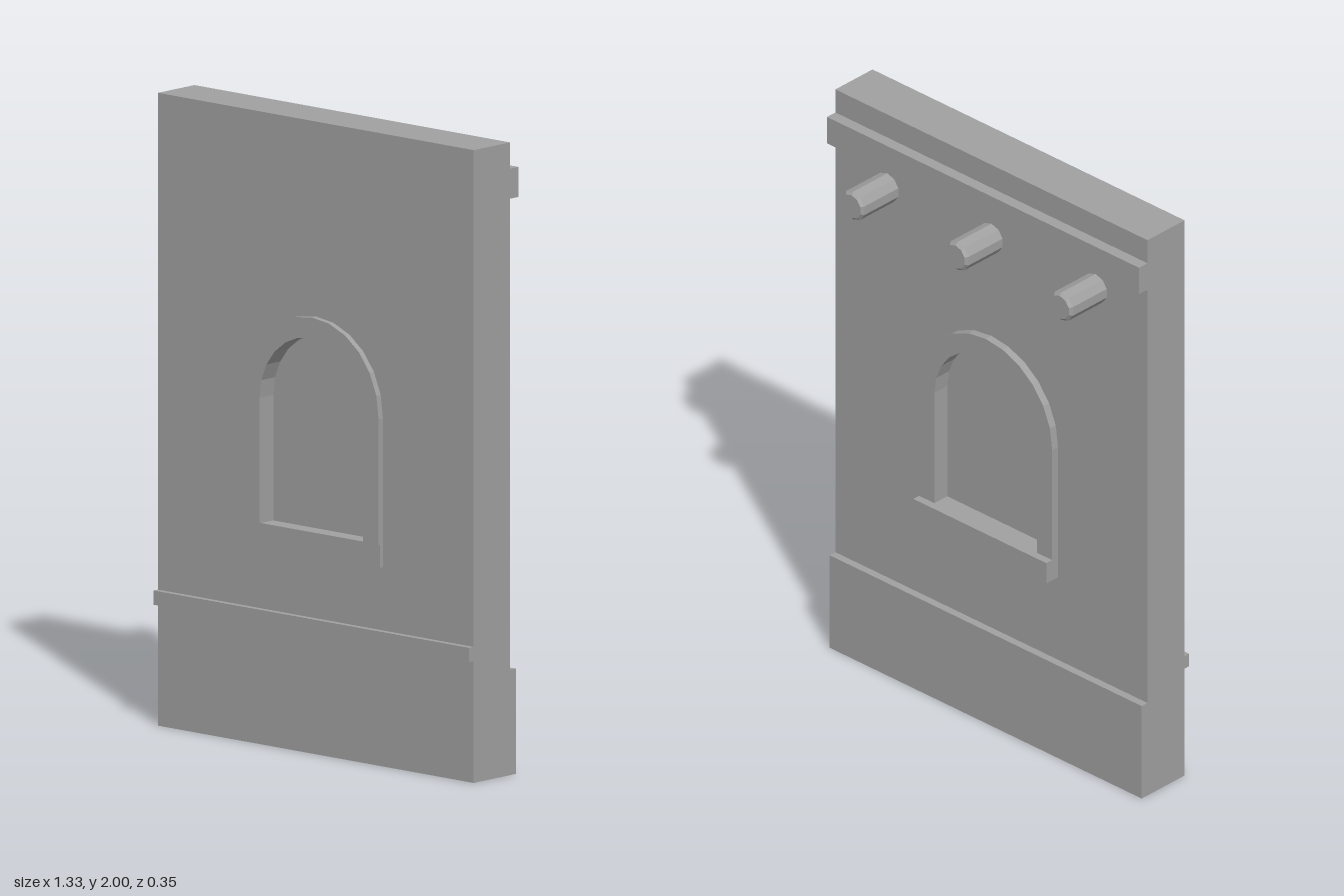
import * as THREE from 'three';

export function createModel() {
  const model = new THREE.Group();
  model.name = 'wallPanel';
  const stone = new THREE.MeshStandardMaterial({ color: 0xa0a0a0, flatShading: true });
  stone.name = 'stone grey';

  const WIDTH = 1.333, BACK = -0.014, FRONT = 0.153;
  const SPRING = 1.1, OUTER = 0.284, INNER = 0.219, SILL_BOTTOM = 0.63, SILL_TOP = 0.703;

  const add = (name, geometry) => {
    const mesh = new THREE.Mesh(geometry, stone);
    mesh.name = name;
    model.add(mesh);
    return mesh;
  };

  // Block given by its width and its y and z limits
  const block = (name, width, y0, y1, z0, z1) =>
    add(name, new THREE.BoxGeometry(width, y1 - y0, z1 - z0))
      .position.set(0, (y0 + y1) / 2, (z0 + z1) / 2);

  // Corners of a round arch, running from the right foot over to the left foot
  const arch = (radius, foot) => {
    const points = [new THREE.Vector2(radius, foot)];
    for (let i = 0; i <= 12; i++) {
      const a = (Math.PI * i) / 12;
      points.push(new THREE.Vector2(radius * Math.cos(a), SPRING + radius * Math.sin(a)));
    }
    points.push(new THREE.Vector2(-radius, foot));
    return points;
  };

  const extrude = (name, shape, z0, z1) => {
    const geometry = new THREE.ExtrudeGeometry(shape, { depth: z1 - z0, bevelEnabled: false });
    add(name, geometry.translate(0, 0, z0));
  };

  // Wall slab with the window opening
  const w = WIDTH / 2;
  const wall = new THREE.Shape([[-w, 0], [w, 0], [w, 2], [-w, 2]].map(p => new THREE.Vector2(...p)));
  wall.holes.push(new THREE.Path(arch(OUTER, SILL_BOTTOM)));
  extrude('wall', wall, BACK, FRONT);

  // Blind arched window: surround, recessed panel and sill
  const surround = new THREE.Shape([...arch(OUTER, SILL_TOP), ...arch(INNER, SILL_TOP).reverse()]);
  extrude('windowSurround', surround, -0.04, 0.173);
  extrude('windowPanel', new THREE.Shape(arch(INNER, SILL_TOP)), 0.018, 0.11);
  block('windowSill', OUTER * 2, SILL_BOTTOM, SILL_TOP, -0.066, 0.166);

  // Horizontal bands
  block('frontMoulding', WIDTH, 0.385, 0.43, FRONT, 0.173);
  block('backPlinth', WIDTH, 0, 0.333, -0.04, BACK);
  block('backLedge', WIDTH, 1.822, 1.917, -0.052, BACK);

  // Beam ends with chamfered tips
  const profile = [[0.05, 0], [0.05, 0.153], [0.041, 0.162], [0, 0.162]];
  for (const x of [-0.445, 0, 0.445]) {
    const beam = new THREE.LatheGeometry(profile.map(p => new THREE.Vector2(...p)), 10);
    add('beamEnd', beam.rotateX(-Math.PI / 2)).position.set(x, 1.738, BACK);
  }

  return model;
}
